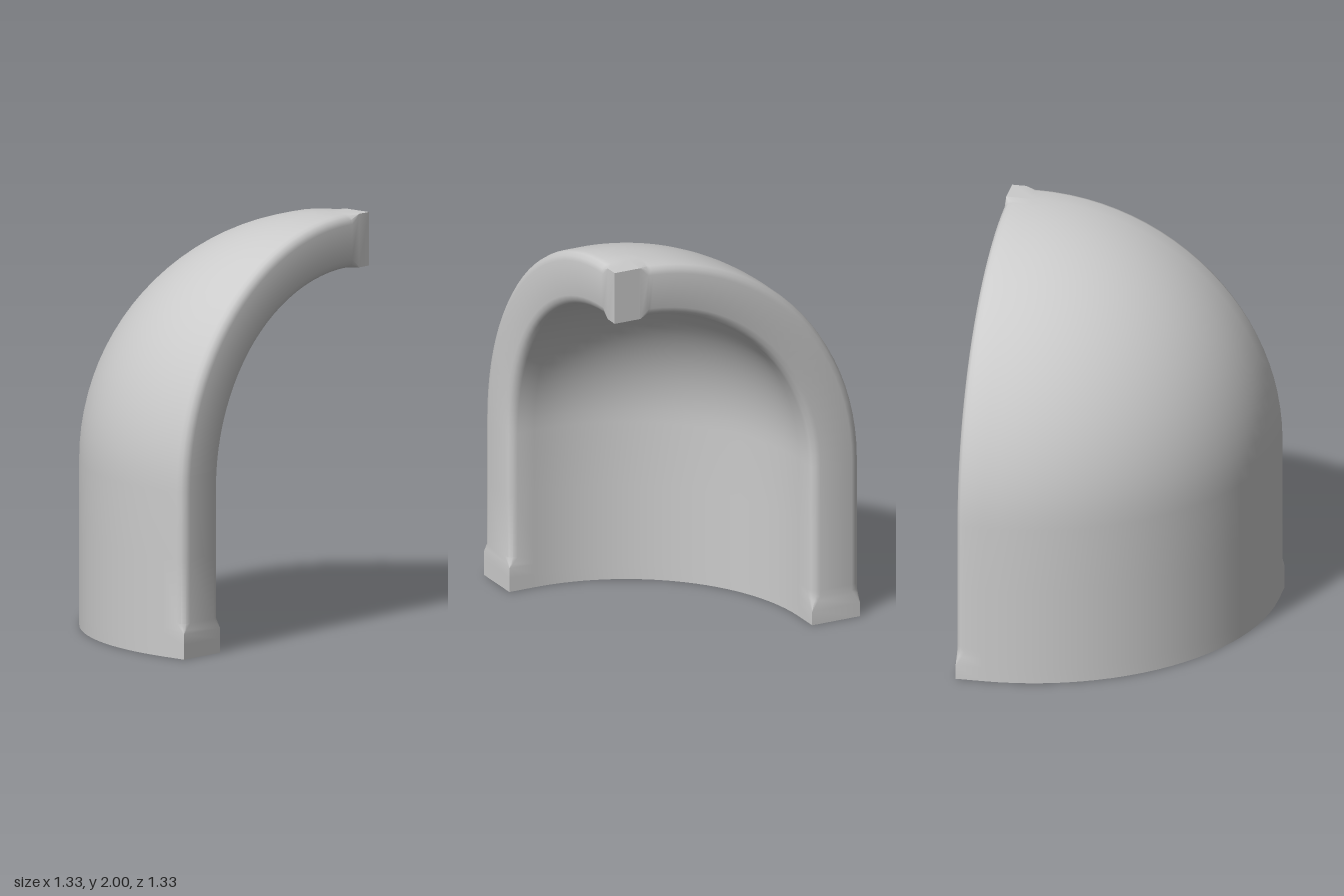
import * as THREE from 'three';
import { toCreasedNormals } from 'three/addons/utils/BufferGeometryUtils.js';

const EDGE = 0.665;                  // cut faces lie at x = EDGE and z = EDGE
const CENTRE = 0.53, SPRING = 0.805; // centre of the spherical octant: x and z, and y
const FLANGE = EDGE - CENTRE;        // straight run from the octant to a cut face
const OUTER = 1.195, INNER = 0.935;
const ROUND = 0.045;                 // radius of the rounded edges
const N = 24, ROUND_STEPS = 3;

// where the rounding of each cut face fades out: height at the foot,
// distance from the corner at the crown
const FRONT = { foot: [0.12, 0.17], crown: [0.07, 0.12] };
const RIGHT = { foot: [0.07, 0.14], crown: [0.14, 0.185] };

const ramp = (v, [a, b]) => THREE.MathUtils.clamp((v - a) / (b - a), 0, 1);

// stations run up the wall, over the octant, then along the flat crown to the corner
function makeStations() {
  const walls = [0, 0.07, 0.12, 0.14, 0.17, 0.48].map(y => ({ y, angle: 0, shift: 0 }));
  const angles = Array.from({ length: N + 1 }, (_, i) => (i / N) * Math.PI / 2);
  for (const radius of [OUTER, INNER])
    for (const q of RIGHT.crown) angles.push(Math.acos((q - FLANGE) / radius));
  angles.sort((a, b) => a - b);
  const shifts = [FLANGE - FRONT.crown[1], FLANGE - FRONT.crown[0], FLANGE];
  return [
    ...walls,
    ...angles.map(angle => ({ y: SPRING, angle, shift: 0 })),
    ...shifts.map(shift => ({ y: SPRING, angle: Math.PI / 2, shift })),
  ];
}

// point on a shell of the given radius, phi = 0 towards -x and 90 degrees towards -z
function place(radius, { y, angle, shift }, phi) {
  const r = radius * Math.cos(angle), c = CENTRE + shift;
  return [c - r * Math.cos(phi), y + radius * Math.sin(angle), c - r * Math.sin(phi)];
}

// rounded edge from the shell surface (first) to the cut face (last)
function roundedEdge(radius, inward, station, face) {
  const front = face === FRONT;
  const reach = FLANGE - station.shift + radius * Math.cos(station.angle);
  const size = ROUND * ramp(reach, face.crown)
    * ramp(station.y + radius * Math.sin(station.angle), face.foot);
  return Array.from({ length: ROUND_STEPS + 1 }, (_, j) => {
    const a = (j / ROUND_STEPS) * Math.PI / 2;
    const inset = size * (1 - Math.cos(a));
    const p = place(radius + inward * inset, station, front ? 0 : Math.PI / 2);
    p[front ? 2 : 0] = EDGE - size * (1 - Math.sin(a));
    return p;
  });
}

// one skin at a station, from the front cut face round to the right cut face
function skin(radius, inward, station) {
  return [
    ...roundedEdge(radius, inward, station, FRONT).reverse(),
    ...Array.from({ length: N + 1 }, (_, k) => place(radius, station, (k / N) * Math.PI / 2)),
    ...roundedEdge(radius, inward, station, RIGHT),
  ];
}

function shellGeometry() {
  const rings = makeStations().map(s => [...skin(OUTER, -1, s), ...skin(INNER, 1, s).reverse()]);
  const positions = [];
  const a = new THREE.Vector3(), b = new THREE.Vector3(), c = new THREE.Vector3();
  const tri = (p, q, r) => {
    a.set(...p); b.set(...q).sub(a); c.set(...r).sub(a);
    if (b.cross(c).length() > 1e-9) positions.push(...p, ...q, ...r);
  };
  const quad = (p, q, r, s) => { tri(p, q, r); tri(p, r, s); };

  // skins, rounded edges and cut faces
  const count = rings[0].length;
  for (let i = 0; i < rings.length - 1; i++)
    for (let k = 0; k < count; k++) {
      const n = (k + 1) % count;
      quad(rings[i][k], rings[i + 1][k], rings[i + 1][n], rings[i][n]);
    }

  // flat foot between the outer and inner skins
  const foot = rings[0], last = count - 1;
  for (let k = 0; k < count / 2 - 1; k++)
    quad(foot[k], foot[k + 1], foot[last - k - 1], foot[last - k]);

  const geometry = new THREE.BufferGeometry();
  geometry.setAttribute('position', new THREE.Float32BufferAttribute(positions, 3));
  return toCreasedNormals(geometry, THREE.MathUtils.degToRad(35));
}

export function createModel() {
  const group = new THREE.Group();
  group.name = 'quarterDome';
  const shell = new THREE.Mesh(
    shellGeometry(),
    new THREE.MeshStandardMaterial({ color: 0xcccccc })
  );
  shell.name = 'domeShell';
  group.add(shell);
  return group;
}
